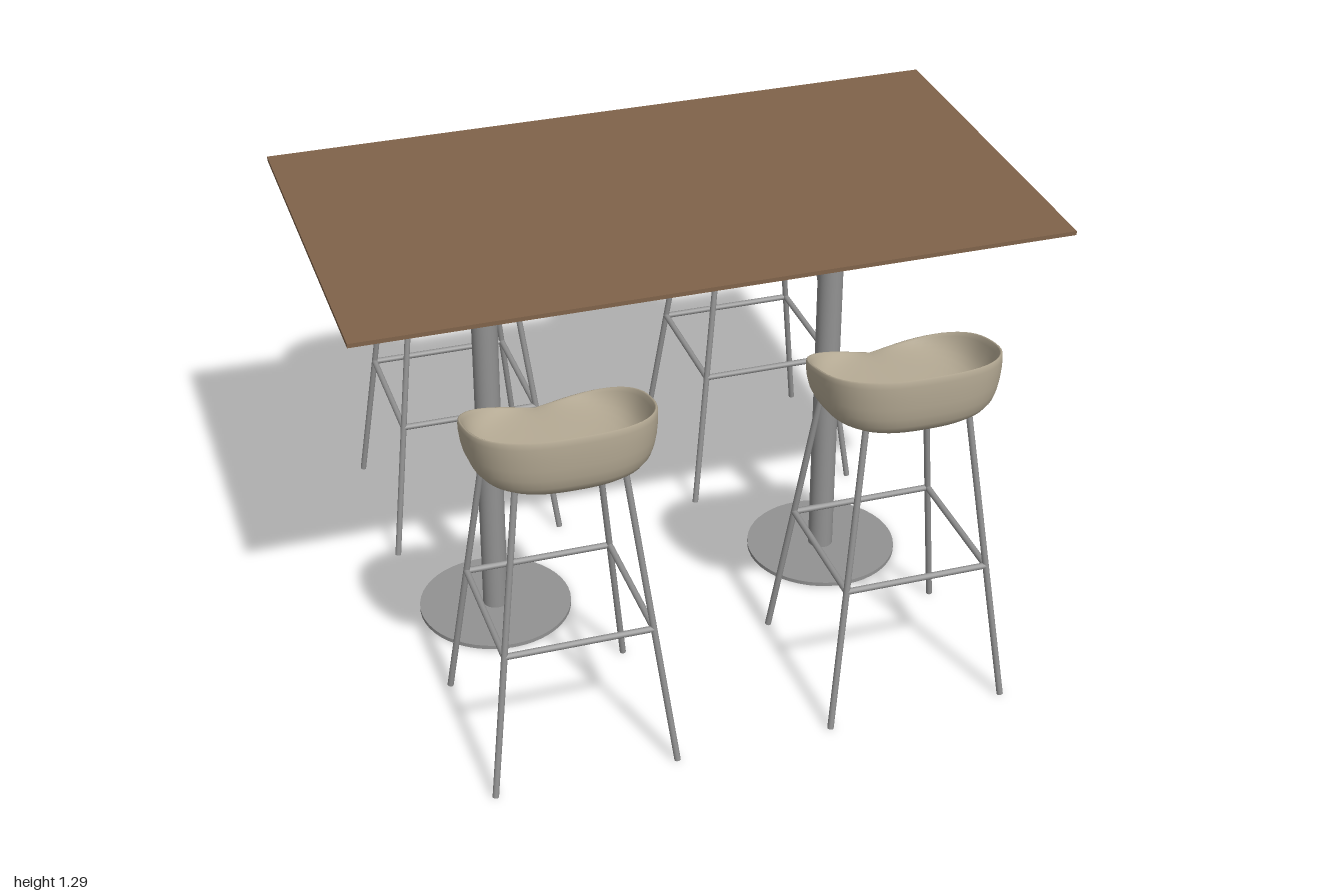
import * as THREE from 'three';

const wood = new THREE.MeshStandardMaterial({ name: 'wood', color: 0x80634a });
const steel = new THREE.MeshStandardMaterial({ name: 'steel', color: 0x929292 });
const shell = new THREE.MeshStandardMaterial({ name: 'seatShell', color: 0xb6ab95 });

function add(parent, name, geometry, material, x = 0, y = 0, z = 0) {
  const mesh = new THREE.Mesh(geometry, material);
  mesh.name = name;
  mesh.position.set(x, y, z);
  parent.add(mesh);
  return mesh;
}

// Round bar between two points
function bar(parent, name, a, b, radius) {
  const dir = b.clone().sub(a);
  const mid = a.clone().add(b).multiplyScalar(0.5);
  const mesh = add(parent, name, new THREE.CylinderGeometry(radius, radius, dir.length(), 12), steel, mid.x, mid.y, mid.z);
  mesh.quaternion.setFromUnitVectors(new THREE.Vector3(0, 1, 0), dir.normalize());
}

// Scoop seat: rings from the underside centre, over the rim, to the inside centre.
// The rim is a rounded oval that climbs from the low lip (-z) to the back (+z).
function seatGeometry() {
  const halfX = 0.254, halfZ = 0.226, bottom = 0.895, floor = 0.922, segments = 64;
  // [plan scale, height from base to rim]
  const outer = [[0, 0], [0.35, 0], [0.6, 0.004], [0.72, 0.02], [0.81, 0.06], [0.88, 0.13],
    [0.93, 0.23], [0.965, 0.38], [0.985, 0.55], [0.997, 0.75], [1, 0.9], [0.995, 0.98], [0.982, 1]];
  const inner = [[0.966, 0.98], [0.95, 0.85], [0.925, 0.68], [0.89, 0.5], [0.84, 0.33],
    [0.77, 0.2], [0.68, 0.11], [0.55, 0.05], [0.3, 0.01], [0, 0]];
  const rings = [...outer.map(p => [...p, bottom]), ...inner.map(p => [...p, floor])];
  const positions = [], index = [];
  rings.forEach(([scale, height, base], j) => {
    for (let i = 0; i < segments; i++) {
      const t = (i / segments) * Math.PI * 2, c = Math.cos(t), s = Math.sin(t);
      const n = s > 0 ? 2.7 : 2.4;
      const r = Math.pow(Math.pow(Math.abs(c), n) + Math.pow(Math.abs(s), n), -1 / n);
      const rim = 0.915 + 0.174 * Math.sqrt(Math.max(0, (1 + r * s) / 2));
      positions.push(halfX * r * c * scale, base + (rim - base) * height, halfZ * r * s * scale);
      if (j < rings.length - 1) {
        const a = j * segments + i, d = j * segments + (i + 1) % segments;
        index.push(a, a + segments, d, d, a + segments, d + segments);
      }
    }
  });
  const geometry = new THREE.BufferGeometry();
  geometry.setAttribute('position', new THREE.Float32BufferAttribute(positions, 3));
  geometry.setIndex(index);
  geometry.computeVertexNormals();
  return geometry;
}

// Bar stool whose back faces +z
function createStool(seat) {
  const stool = new THREE.Group();
  stool.name = 'barStool';
  add(stool, 'seat', seat, shell, 0, 0, 0.028);

  const corners = [[1, 1], [-1, 1], [-1, -1], [1, -1]];
  const legPoint = (k, y) => {
    const half = 0.257 - (0.257 - 0.147) * (y / 0.905);
    return new THREE.Vector3(corners[k % 4][0] * half, y, corners[k % 4][1] * half);
  };
  for (let k = 0; k < 4; k++) {
    bar(stool, 'leg', legPoint(k, 0), legPoint(k, 0.905), 0.009);
    bar(stool, 'footRail', legPoint(k, 0.42), legPoint(k + 1, 0.42), 0.009);
    bar(stool, 'seatFrame', legPoint(k, 0.898), legPoint(k + 1, 0.898), 0.008);
  }
  return stool;
}

export function createModel() {
  const model = new THREE.Group();
  model.name = 'barTableWithStools';

  // Table
  add(model, 'tableTop', new THREE.BoxGeometry(2, 0.012, 1.12), wood, 0, 1.284, 0);
  for (const side of [-1, 1]) {
    add(model, 'tableColumn', new THREE.CylinderGeometry(0.037, 0.037, 1.27, 32), steel, side * 0.517, 0.643, 0);
    add(model, 'tableBase', new THREE.CylinderGeometry(0.225, 0.225, 0.012, 48), steel, side * 0.517, 0.006, 0);
  }

  // Two stools on each long side, backs outward
  const seat = seatGeometry();
  for (const x of [-0.481, 0.481]) {
    for (const z of [-1, 1]) {
      const stool = createStool(seat);
      stool.position.set(x, 0, z * 0.597);
      if (z < 0) stool.rotation.y = Math.PI;
      model.add(stool);
    }
  }
  return model;
}
